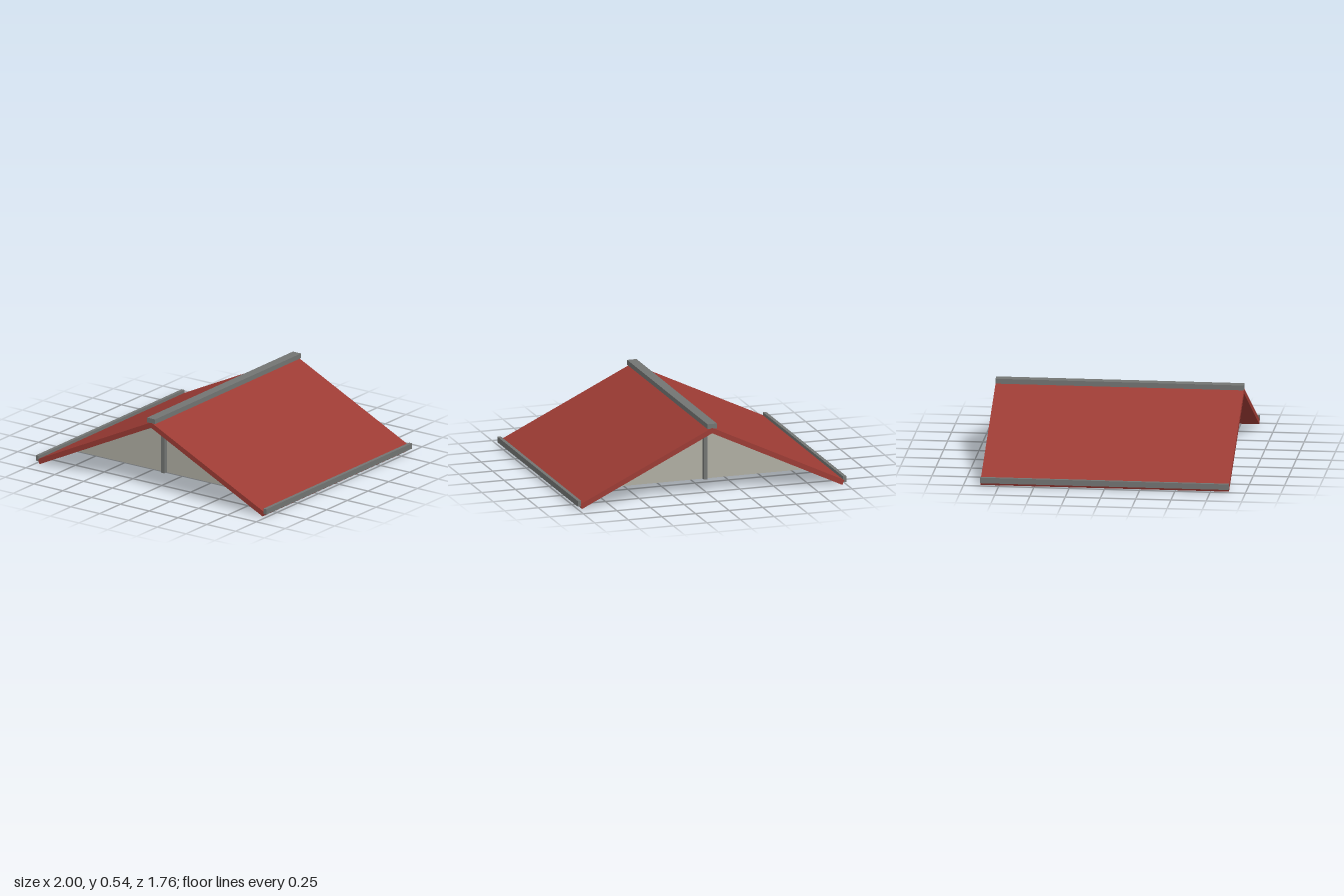
import * as THREE from 'three';

export function createModel() {
  const mat = (name, color) => {
    const m = new THREE.MeshStandardMaterial({ color });
    m.name = name;
    return m;
  };
  const red = mat('roof red', 0x9c3b34);
  const grey = mat('trim grey', 0x727472);
  const stone = mat('gable stone', 0xb0aea3);

  const root = new THREE.Group();
  root.name = 'gableRoof';
  const add = (name, geometry, material, x = 0, y = 0, z = 0) => {
    const mesh = new THREE.Mesh(geometry, material);
    mesh.name = name;
    mesh.position.set(x, y, z);
    root.add(mesh);
  };
  // Extrudes an x/y outline along z between z0 and z1
  const prism = (points, z0, z1) => {
    const shape = new THREE.Shape(points.map(([x, y]) => new THREE.Vector2(x, y)));
    const g = new THREE.ExtrudeGeometry(shape, { depth: z1 - z0, bevelEnabled: false });
    return g.translate(0, 0, z0);
  };
  const length = 1.76, half = length / 2;

  // Sloping roof slabs and eave strips, mirrored left and right
  for (const s of [1, -1]) {
    const side = s > 0 ? 'left' : 'right';
    const slab = [[0, 0.466], [0.968, 0], [0.984, 0.034], [0, 0.506]];
    add(side + 'RoofSlab', prism(slab.map(([x, y]) => [s * x, y]), -half, half), red);
    add(side + 'EaveStrip', new THREE.BoxGeometry(0.025, 0.04, length), grey, s * 0.9875, 0.04);
  }

  // Ridge cap
  add('ridgeCap', new THREE.BoxGeometry(0.07, 0.035, length), grey, 0, 0.5175);

  // Gable walls with raking trim and a centre post at both ends
  for (const s of [1, -1]) {
    const end = s > 0 ? 'front' : 'back';
    const between = (a, b) => (s > 0 ? [a, b] : [-b, -a]);
    add(end + 'GableWall', prism([[-0.8, 0.09], [0.8, 0.09], [0, 0.447]], ...between(0.65, 0.71)), stone);
    add(end + 'RakeTrim', prism(
      [[-0.8, 0.09], [0, 0.447], [0.8, 0.09], [0, 0.47]], ...between(0.65, 0.722)), grey);
    add(end + 'CentrePost', new THREE.BoxGeometry(0.028, 0.36, 0.04), grey, 0, 0.27, s * 0.72);
  }
  return root;
}
